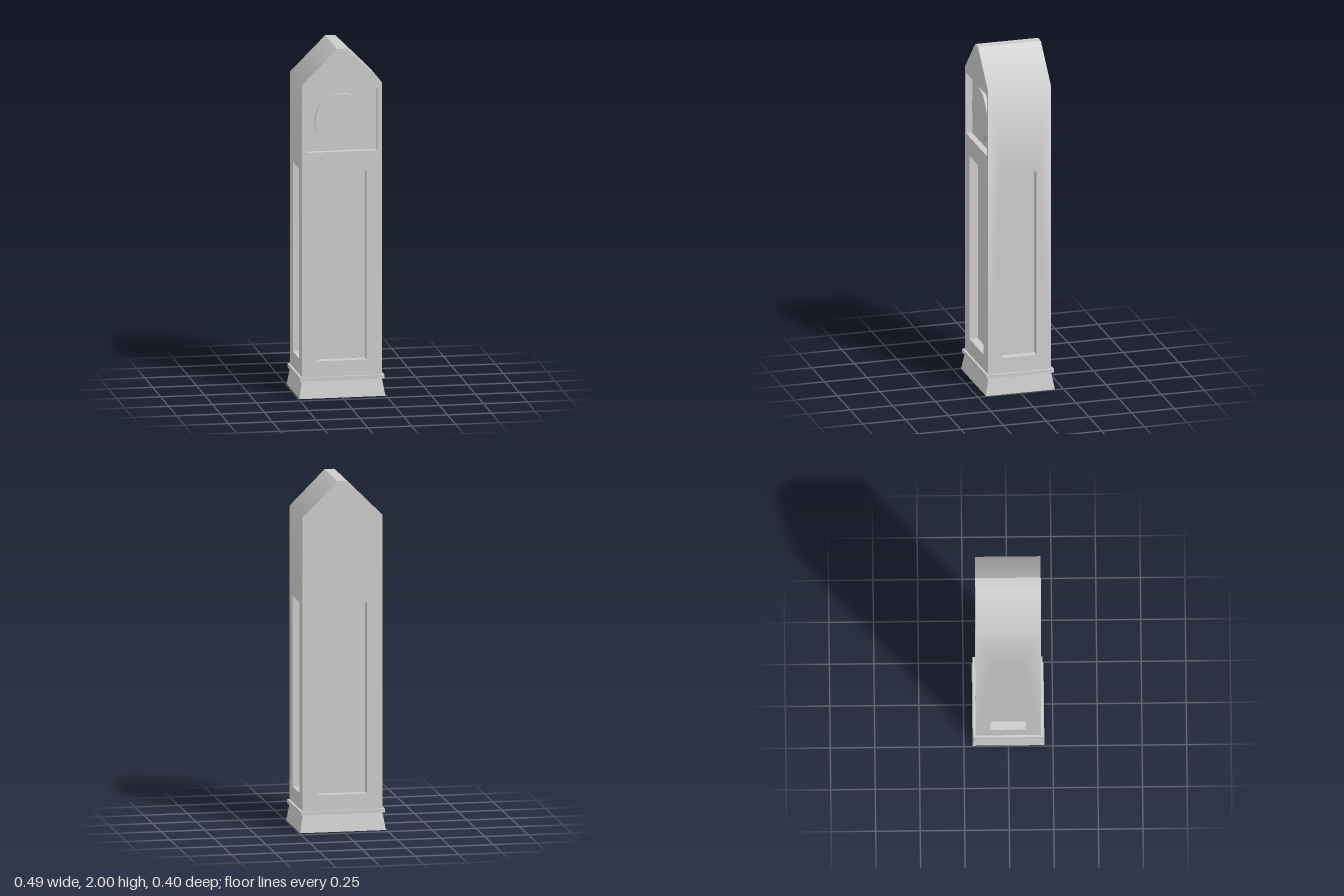
import * as THREE from 'three';

const W = 0.228, D = 0.184, FOOT = 0.12, EAVES = 1.8, TOP = 2, RIDGE = 0.028;

export function createModel() {
  const model = new THREE.Group();
  const material = new THREE.MeshStandardMaterial({ color: 0xcccccc });

  const add = (parent, name, geometry, x = 0, y = 0, z = 0) => {
    const mesh = new THREE.Mesh(geometry, material);
    mesh.name = name;
    mesh.position.set(x, y, z);
    parent.add(mesh);
    return mesh;
  };
  const outline = (points) => new THREE.Shape(points.map(([x, y]) => new THREE.Vector2(x, y)));
  const rect = (half, y0, y1) => [[-half, y0], [half, y0], [half, y1], [-half, y1]];

  // Inside of a box, open towards +z
  const recess = (half, y0, y1, depth) => {
    const g = new THREE.BoxGeometry(2 * half, y1 - y0, depth);
    const index = Array.from(g.index.array);
    index.splice(24, 6);
    g.setIndex(index.reverse());
    const n = g.attributes.normal;
    for (let i = 0; i < n.array.length; i++) n.array[i] *= -1;
    return g.translate(0, (y0 + y1) / 2, -depth / 2);
  };

  // A wall facing +z, with recessed panels cut into it
  const wall = (name, points, z, panels) => {
    const group = new THREE.Group();
    group.name = name;
    const shape = outline(points);
    for (const [label, half, y0, y1, depth] of panels) {
      shape.holes.push(outline(rect(half, y0, y1)));
      add(group, label, recess(half, y0, y1, depth), 0, 0, z);
    }
    add(group, name + 'Face', new THREE.ShapeGeometry(shape), 0, 0, z);
    model.add(group);
    return group;
  };

  // Front and back walls with gables
  const gable = [[-W, FOOT], [W, FOOT], [W, EAVES], [RIDGE, TOP], [-RIDGE, TOP], [-W, EAVES]];
  const longPanel = ['longPanel', 0.14, 0.21, 1.3, 0.05];
  const front = wall('frontWall', gable, D, [longPanel, ['dialRecess', 0.203, 1.41, 1.77, 0.036]]);
  wall('backWall', gable, D, [longPanel]).rotation.y = Math.PI;

  // Clock dial
  add(front, 'dial', new THREE.CylinderGeometry(0.149, 0.149, 0.02, 64).rotateX(Math.PI / 2), 0, 1.59, D - 0.027);

  // Side walls flowing smoothly into the roof slopes
  const softenEaves = (g) => {
    const p = g.attributes.position;
    for (let i = 0; i < p.count; i++) {
      if (Math.abs(p.getY(i) - EAVES) < 1e-4) {
        g.attributes.normal.setXYZ(i, 0, Math.sin(Math.PI / 8), Math.cos(Math.PI / 8));
      }
    }
  };
  for (const side of [-1, 1]) {
    const name = side > 0 ? 'leftWall' : 'rightWall';
    const group = wall(name, rect(D, FOOT, EAVES), W, [['sidePanel', 0.1, 0.21, 1.3, 0.05]]);
    softenEaves(group.getObjectByName(name + 'Face').geometry);
    const slope = new THREE.PlaneGeometry(2 * D, TOP - EAVES).translate(0, (TOP + EAVES) / 2, 0);
    const p = slope.attributes.position;
    for (let i = 0; i < p.count; i++) p.setZ(i, p.getY(i) > 1.9 ? RIDGE : W);
    slope.computeVertexNormals();
    softenEaves(slope);
    add(group, 'roofSlope', slope);
    group.rotation.y = side * Math.PI / 2;
  }

  // Flat strip along the ridge
  add(model, 'ridge', new THREE.PlaneGeometry(2 * RIDGE, 2 * D).rotateX(-Math.PI / 2), 0, TOP, 0);

  // Moulding and tapered plinth
  add(model, 'moulding', new THREE.BoxGeometry(0.482, 0.022, 0.394), 0, 0.11, 0);
  const plinth = new THREE.BoxGeometry(0.49, 0.1, 0.404);
  const p = plinth.attributes.position;
  for (let i = 0; i < p.count; i++) {
    if (p.getY(i) > 0) p.setXYZ(i, Math.sign(p.getX(i)) * W, 0.05, Math.sign(p.getZ(i)) * D);
  }
  plinth.computeVertexNormals();
  add(model, 'plinth', plinth, 0, 0.05, 0);

  return model;
}
